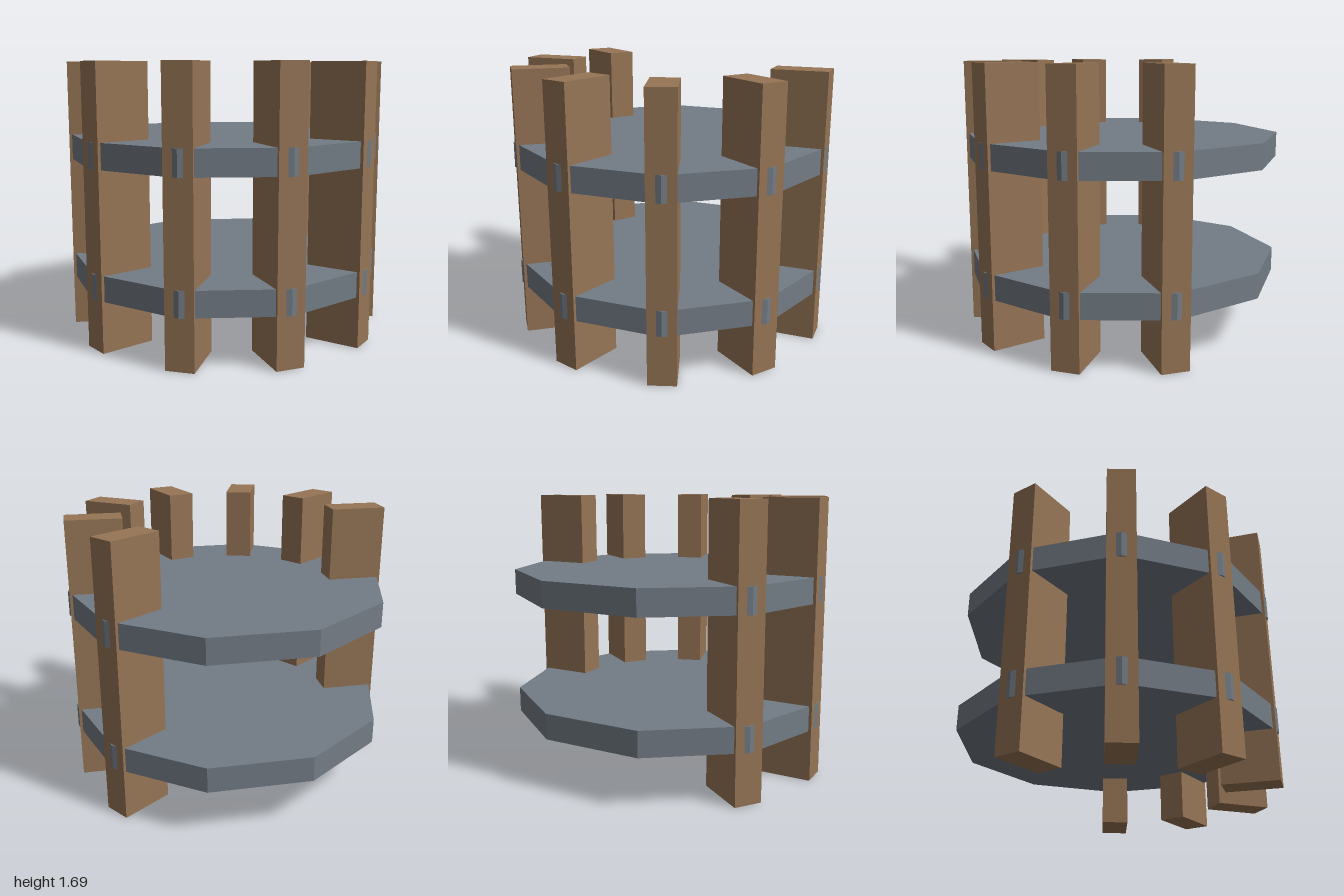
import * as THREE from 'three';

export function createModel() {
  const model = new THREE.Group();
  const wood = new THREE.MeshStandardMaterial({ name: 'brown wood', color: 0x967556 });
  const metal = new THREE.MeshStandardMaterial({ name: 'blue grey', color: 0x737c85 });
  const centreZ = -0.008;

  // Two ten-sided shelves, with a corner pointing along each post
  const shelfGeometry = new THREE.CylinderGeometry(1, 1, 0.155, 10, 1, false, Math.PI / 2).toNonIndexed();
  shelfGeometry.computeVertexNormals();
  [['lowerShelf', 0.388], ['upperShelf', 1.158]].forEach(([name, y]) => {
    const shelf = new THREE.Mesh(shelfGeometry, metal);
    shelf.name = name;
    shelf.position.set(0, y, centreZ);
    model.add(shelf);
  });

  // Seven radial posts, leaving the back open
  const postGeometry = new THREE.BoxGeometry(0.34, 1.688, 0.17);
  for (let i = 0; i < 7; i++) {
    const angle = (i * Math.PI) / 5;
    const post = new THREE.Mesh(postGeometry, wood);
    post.name = `post${i + 1}`;
    post.position.set(0.82 * Math.cos(angle), 0.844, centreZ + 0.82 * Math.sin(angle));
    post.rotation.y = -angle;
    model.add(post);
  }
  return model;
}
